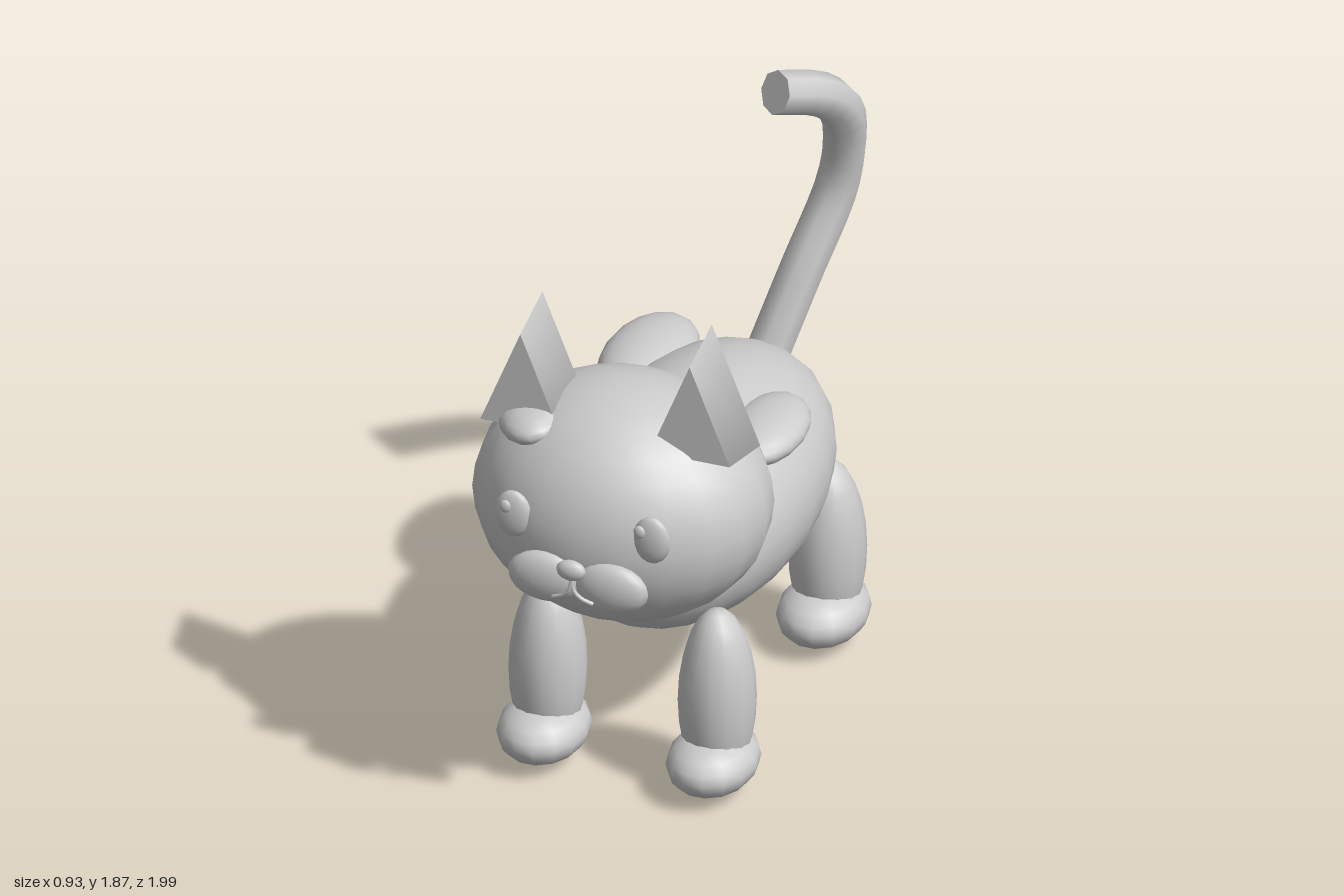
import * as THREE from 'three';

export function createModel() {
  const cat = new THREE.Group();
  cat.name = 'cat';
  const grey = new THREE.MeshStandardMaterial({ color: 0xcccccc });
  grey.name = 'plain grey';

  const add = (name, geometry) => {
    const mesh = new THREE.Mesh(geometry, grey);
    mesh.name = name;
    cat.add(mesh);
    return mesh;
  };
  // Ellipsoid from centre and half-sizes
  const blob = (name, pos, radii, w = 16, h = 12) => {
    const mesh = add(name, new THREE.SphereGeometry(1, w, h));
    mesh.position.set(...pos);
    mesh.scale.set(...radii);
    return mesh;
  };
  const curve = (pts) => new THREE.CatmullRomCurve3(pts.map((p) => new THREE.Vector3(...p)));

  // Body and head
  blob('body', [0, 0.705, -0.08], [0.388, 0.345, 0.675], 24, 16);
  blob('head', [0, 1.01, 0.525], [0.467, 0.388, 0.4], 20, 16);

  // Coat patches
  blob('leftBackPatch', [0.25, 0.967, -0.045], [0.122, 0.065, 0.208]);
  blob('rightBackPatch', [-0.272, 0.91, -0.41], [0.142, 0.08, 0.24]);
  blob('headPatch', [-0.255, 1.292, 0.62], [0.11, 0.06, 0.165]).rotation.set(0, 0.3, 0.2);

  for (const s of [1, -1]) {
    const side = s > 0 ? 'left' : 'right';

    // Legs and paws
    for (const [end, z] of [['Front', 0.445], ['Back', -0.5]]) {
      blob(`${side}${end}Leg`, [s * 0.275, 0.3, z], [0.12, 0.31, 0.126], 14, 12);
      blob(`${side}${end}Paw`, [s * 0.275, 0.1, z + 0.033], [0.14, 0.096, 0.182], 14, 10);
    }

    // Ears: tapered three-sided prisms, narrower at the front
    const ear = add(`${side}Ear`, new THREE.CylinderGeometry(0.15, 0.182, 0.19, 3)
      .rotateY(Math.PI).rotateX(Math.PI / 2));
    ear.position.set(s * 0.275, 1.382, 0.588);
    ear.scale.set(1, 1.45, 1);

    // Eyes with small highlights
    blob(`${side}Eye`, [s * 0.225, 1.085, 0.875], [0.06, 0.08, 0.026], 12, 10);
    blob(`${side}EyeHighlight`, [s * 0.218 - 0.025, 1.118, 0.897], [0.019, 0.022, 0.01], 10, 8);

    // Cheek and mouth line
    blob(`${side}Cheek`, [s * 0.108, 0.91, 0.912], [0.12, 0.084, 0.045], 14, 10);
    add(`${side}MouthLine`, new THREE.TubeGeometry(curve([
      [0, 0.955, 0.965], [s * 0.006, 0.915, 0.97], [s * 0.03, 0.888, 0.967], [s * 0.065, 0.87, 0.958],
    ]), 8, 0.007, 6));
  }

  blob('nose', [0, 0.985, 0.973], [0.048, 0.034, 0.025], 12, 8);

  // Tail with flat end caps
  const path = curve([
    [0, 0.81, -0.7], [0.07, 1.06, -0.81], [0.145, 1.32, -0.92], [0.175, 1.5, -0.91],
    [0.185, 1.64, -0.85], [0.15, 1.74, -0.75], [0.06, 1.797, -0.62],
  ]);
  add('tail', new THREE.TubeGeometry(path, 20, 0.07, 8));
  const frames = path.computeFrenetFrames(20, false);
  for (const [name, i, dir] of [['tailBase', 0, -1], ['tailTip', 20, 1]]) {
    const cap = add(name, new THREE.CircleGeometry(0.07, 8));
    const basis = new THREE.Matrix4().makeBasis(
      frames.normals[i].clone(),
      frames.binormals[i].clone().multiplyScalar(dir),
      frames.tangents[i].clone().multiplyScalar(dir));
    cap.quaternion.setFromRotationMatrix(basis);
    cap.position.copy(path.getPointAt(i / 20));
  }
  return cat;
}
